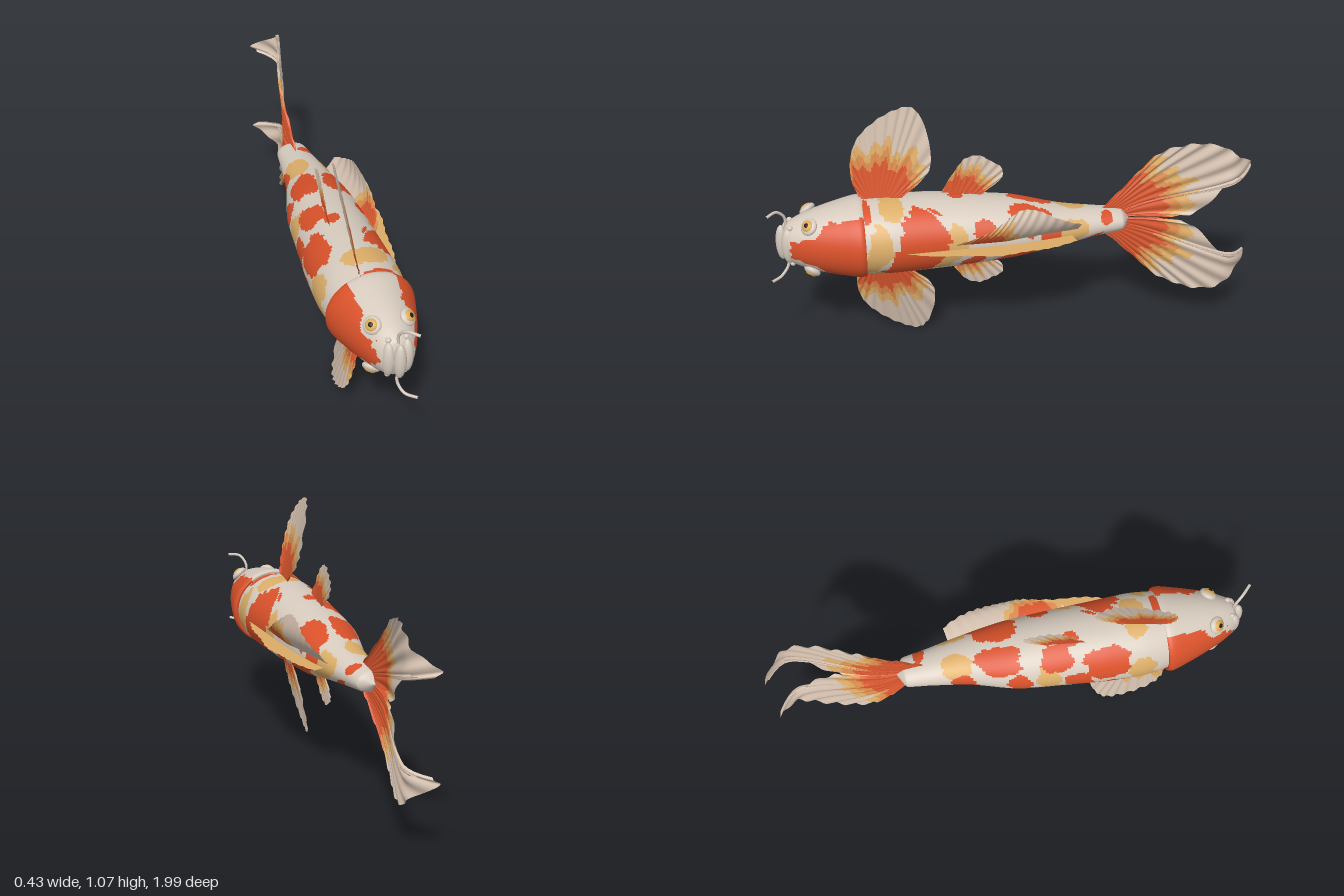
import * as THREE from 'three';

const MID = 0.533; // height of the fish's mirror plane
const V = (x, y, z) => new THREE.Vector3(x, y, z);
const { smoothstep } = THREE.MathUtils;

function mat(name, color, side = THREE.FrontSide) {
  const m = new THREE.MeshStandardMaterial({ color, side });
  m.name = name;
  return m;
}

// Smooth irregularity for the edges of the colour patches
const wobble = (a, b, c) => 0.5 * Math.sin(3 * a + 2 * b + 1) + 0.3 * Math.sin(4 * b - 3 * c) + 0.25 * Math.sin(8 * a + 6 * c);

// Grid surface whose faces are sorted into material groups by pick(centre, u)
function patchGrid(name, nu, nv, closed, point, pick, mats) {
  const pts = [], cols = closed ? nu : nu + 1;
  for (let j = 0; j <= nv; j++)
    for (let i = 0; i < cols; i++) pts.push(point(i / nu, j / nv));
  const buckets = mats.map(() => []);
  const at = (i, j) => j * cols + (closed ? i % nu : i);
  for (let j = 0; j < nv; j++)
    for (let i = 0; i < nu; i++) {
      const a = at(i, j), b = at(i + 1, j), c = at(i, j + 1), d = at(i + 1, j + 1);
      const centre = pts[a].clone().lerp(pts[d], 0.5);
      buckets[pick(centre, (i + 0.5) / nu)].push(a, c, b, b, c, d);
    }
  const geo = new THREE.BufferGeometry().setFromPoints(pts);
  geo.setIndex(buckets.flat());
  let start = 0;
  buckets.forEach((b, k) => {
    if (b.length) geo.addGroup(start, b.length, k);
    start += b.length;
  });
  geo.computeVertexNormals();
  const mesh = new THREE.Mesh(geo, mats);
  mesh.name = name;
  return mesh;
}

// Elliptical hull from sections [z, centreX, radiusX, radiusY]
function hull(sections) {
  const zs = new THREE.CatmullRomCurve3(sections.map((s) => V(s[0], 0, 0)));
  const rs = new THREE.CatmullRomCurve3(sections.map((s) => V(s[1], s[2], s[3])));
  return (u, v) => {
    const r = rs.getPoint(v), a = u * Math.PI * 2;
    return V(r.x + Math.max(r.y, 0) * Math.cos(a), MID + Math.max(r.z, 0) * Math.sin(a), zs.getPoint(v).x);
  };
}

// Fin lofted from a root line to a rim, both given as [z, reach]; place(z, reach) sets the points.
// Colours change with distance from the hub.
function fin(name, root, rim, place, hub, bands, mats, rays, ripple) {
  const curve = (list) => new THREE.CatmullRomCurve3(list.map(([z, r]) => V(0, r, z)));
  const inner = curve(root), outer = curve(rim), centre = place(...hub);
  return patchGrid(name, 110, 26, false, (u, v) => {
    const q = inner.getPoint(u).lerp(outer.getPoint(u), v);
    const p = place(q.z, q.y);
    p.x += ripple * v * Math.sin(u * rays * Math.PI * 2);
    return p;
  }, (p, u) => {
    const d = p.distanceTo(centre) * (1 + 0.1 * Math.sin(u * 23) + 0.09 * Math.sin(u * 57 + 1));
    return bands.filter((b) => d > b).length;
  }, mats);
}

export function createModel() {
  const fish = new THREE.Group();
  fish.name = 'fish';
  const white = mat('creamWhite', 0xd6cabd), orange = mat('orangeRed', 0xd9512a), ochre = mat('ochre', 0xdcae68);
  const gold = mat('eyeGold', 0xdcaa55), black = mat('pupilBlack', 0x201a18);
  const skin = [white, orange, ochre];
  const finMats = [['finOrange', 0xd9562e], ['finAmber', 0xdb8a4c], ['finOchre', 0xdcab66], ['finCream', 0xd3bfae]]
    .map(([n, c]) => mat(n, c, THREE.DoubleSide));

  // Skin patches: [degrees from the back, z, angular radius, z radius]
  const orangePatches = [
    [15, 0.38, 50, 0.105], [145, 0.36, 32, 0.09], [128, 0.16, 24, 0.065], [98, 0.23, 12, 0.03], [118, -0.07, 30, 0.09],
    [50, -0.06, 36, 0.085], [30, 0.13, 16, 0.05], [10, -0.14, 28, 0.04], [45, -0.38, 34, 0.028], [178, 0.24, 24, 0.06],
    [165, 0, 20, 0.05], [175, -0.22, 28, 0.05], [70, 0.6, 24, 0.018],
  ];
  const ochrePatches = [
    [10, 0.55, 38, 0.045], [80, 0.5, 36, 0.05], [15, 0.25, 26, 0.05], [5, -0.24, 45, 0.07],
    [120, -0.24, 36, 0.06], [180, 0.5, 40, 0.06], [160, 0.12, 26, 0.05],
  ];
  // The lower flank repeats the upper one, shifted forward
  const bodyColour = (p, u) => {
    const angle = 180 - Math.abs(u * 360 - 180);
    const z = p.z - 0.1 * Math.max(0, -Math.sin(u * Math.PI * 2));
    const size = 1 + 0.22 * wobble(p.x * 22, p.y * 22, p.z * 22);
    const hit = ([a, pz, ra, rz]) => Math.hypot((angle - a) / ra, (z - pz) / rz) < size;
    if (orangePatches.some(hit)) return 1;
    return ochrePatches.some(hit) ? 2 : 0;
  };
  const body = hull([
    [0.66, -0.035, 0.155, 0.148], [0.5, -0.035, 0.174, 0.159], [0.36, -0.033, 0.17, 0.156], [0.2, -0.024, 0.16, 0.146],
    [0, -0.014, 0.146, 0.124], [-0.2, 0.004, 0.104, 0.079], [-0.36, 0.005, 0.076, 0.055], [-0.45, 0.005, 0.062, 0.042],
    [-0.485, 0.005, 0, 0],
  ]);
  fish.add(patchGrid('body', 128, 150, true, body, bodyColour, skin));

  // Head with a raised gill rim at its back
  const head = hull([
    [0.955, -0.037, 0, 0], [0.92, -0.037, 0.066, 0.081], [0.87, -0.037, 0.096, 0.108], [0.8, -0.036, 0.126, 0.132],
    [0.72, -0.036, 0.154, 0.151], [0.63, -0.036, 0.179, 0.166], [0.612, -0.036, 0.172, 0.161], [0.615, -0.036, 0.155, 0.145],
  ]);
  fish.add(patchGrid('head', 110, 70, true, head, (p) => {
    const dx = Math.abs(p.x + 0.036), dy = Math.abs(p.y - MID);
    const nearEye = Math.hypot(dx - 0.07, dy - 0.105, p.z - 0.83) < 0.055;
    const edge = 0.07 + 0.16 * dy + 0.016 * wobble(p.x * 25, dy * 30, p.z * 30);
    return dx > edge && !nearEye ? 1 : 0;
  }, skin));

  function ball(parent, name, material, radius, scale, position) {
    const b = new THREE.Mesh(new THREE.SphereGeometry(radius, 24, 16), material);
    b.name = name;
    b.scale.set(...scale);
    b.position.set(...position);
    parent.add(b);
  }

  // Lips and cheeks
  ball(fish, 'lips', white, 0.025, [1, 3.2, 1], [-0.037, MID, 0.942]);
  for (const s of [-1, 1]) ball(fish, 'cheek', white, 0.03, [0.9, 2.6, 1], [-0.037 + s * 0.036, MID, 0.915]);

  // Tail sways sideways, then hooks back at the tip
  const sway = (d) => 0.1 * smoothstep(d, 0.5, 0.92) - 0.1 * (Math.max(0, d - 0.88) / 0.12) ** 2;

  for (const side of [-1, 1]) {
    // Eyes and nostrils
    for (const s of [-1, 1]) {
      const eye = new THREE.Group();
      eye.name = 'eye';
      eye.position.set(-0.036 + s * 0.07, MID + side * 0.104, 0.83);
      eye.lookAt(eye.position.clone().add(V(s * 0.06, side * 0.08, 0.06)));
      ball(eye, 'eyelid', white, 0.036, [1, 1, 0.5], [0, 0, 0]);
      ball(eye, 'iris', gold, 0.025, [1, 1, 0.55], [0, 0, 0.009]);
      ball(eye, 'pupil', black, 0.011, [1, 1, 0.4], [0, 0, 0.0195]);
      fish.add(eye);
      ball(fish, 'nostril', white, 0.011, [1, 1, 1], [-0.036 + s * 0.035, MID + side * 0.083, 0.905]);
    }

    // Whisker
    const path = new THREE.CatmullRomCurve3([[-0.037, 0.067, 0.92], [-0.038, 0.117, 0.925], [-0.02, 0.152, 0.955], [0.018, 0.153, 0.995]]
      .map(([x, y, z]) => V(x, MID + side * y, z)));
    const whisker = new THREE.Mesh(new THREE.TubeGeometry(path, 24, 0.006, 8), white);
    whisker.name = 'whisker';
    fish.add(whisker);

    // Paired fins and tail lobe: reach is measured up or down from the mirror plane
    fish.add(fin('pectoralFin', [[0.58, 0.137], [0.48, 0.137]],
      [[0.62, 0.157], [0.645, 0.23], [0.642, 0.32], [0.61, 0.4], [0.54, 0.47], [0.46, 0.518], [0.395, 0.533],
        [0.355, 0.49], [0.325, 0.34], [0.34, 0.267], [0.45, 0.157]],
      (z, r) => V(-0.045 - 0.21 * (r - 0.15) - 0.22 * (z - 0.49), MID + side * r, z),
      [0.54, 0.147], [0.15, 0.19, 0.23], finMats, 16, 0.004));
    fish.add(fin('pelvicFin', [[0.25, 0.117], [0.15, 0.107]],
      [[0.285, 0.147], [0.222, 0.247], [0.185, 0.292], [0.13, 0.307], [0.08, 0.282], [0.038, 0.252], [0.04, 0.207], [0.14, 0.137]],
      (z, r) => V(-0.055 - 0.12 * (r - 0.13) - 0.16 * (z - 0.15), MID + side * r, z),
      [0.2, 0.127], [0.09, 0.115, 0.14], finMats, 10, 0.003));
    fish.add(fin('tailLobe', [[-0.36, 0.042], [-0.41, 0.027], [-0.44, 0.002]],
      [[-0.375, 0.057], [-0.455, 0.137], [-0.545, 0.232], [-0.61, 0.297], [-0.69, 0.332], [-0.77, 0.35], [-0.86, 0.335],
        [-0.93, 0.277], [-0.995, 0.22], [-0.98, 0.19], [-0.9, 0.192], [-0.86, 0.157], [-0.755, 0.037], [-0.68, 0.009], [-0.55, 0.003]],
      (z, r) => V(sway(-z) - 0.06 * (r - 0.12) * smoothstep(-z, 0.36, 0.6), MID + side * r, z),
      [-0.41, 0], [0.23, 0.28, 0.33], finMats, 15, 0.007));
  }

  // Back fin standing straight out: reach is x
  fish.add(fin('dorsalFin', [[0.45, 0.12], [0.2, 0.12], [0, 0.11], [-0.22, 0.08]],
    [[0.45, 0.14], [0.35, 0.17], [0.22, 0.187], [0.09, 0.21], [-0.03, 0.195], [-0.13, 0.185], [-0.24, 0.15]],
    (z, r) => V(r, MID, z), [0.1, 0], [0], finMats.slice(1, 3).reverse().concat(finMats[2]).slice(1), 14, 0.002));

  // Second back fin, curling up over the side: reach is height above the mirror plane
  fish.add(fin('curledFin', [[0.25, 0.012], [0.1, 0.017], [-0.25, 0.017]],
    [[0.25, 0.027], [0.16, 0.067], [0.07, 0.122], [-0.01, 0.167], [-0.08, 0.159], [-0.16, 0.117], [-0.26, 0.067]],
    (z, r) => V(0.12 - 0.16 * Math.max(0, 0.05 - z) * (1 - r / 0.17) + 0.03 * r / 0.17 + 0.035 * Math.sin(Math.PI * r / 0.17), MID + r, z),
    [0.12, 0], [0.08, 0.11, 0.14], finMats, 14, 0.003));

  return fish;
}
